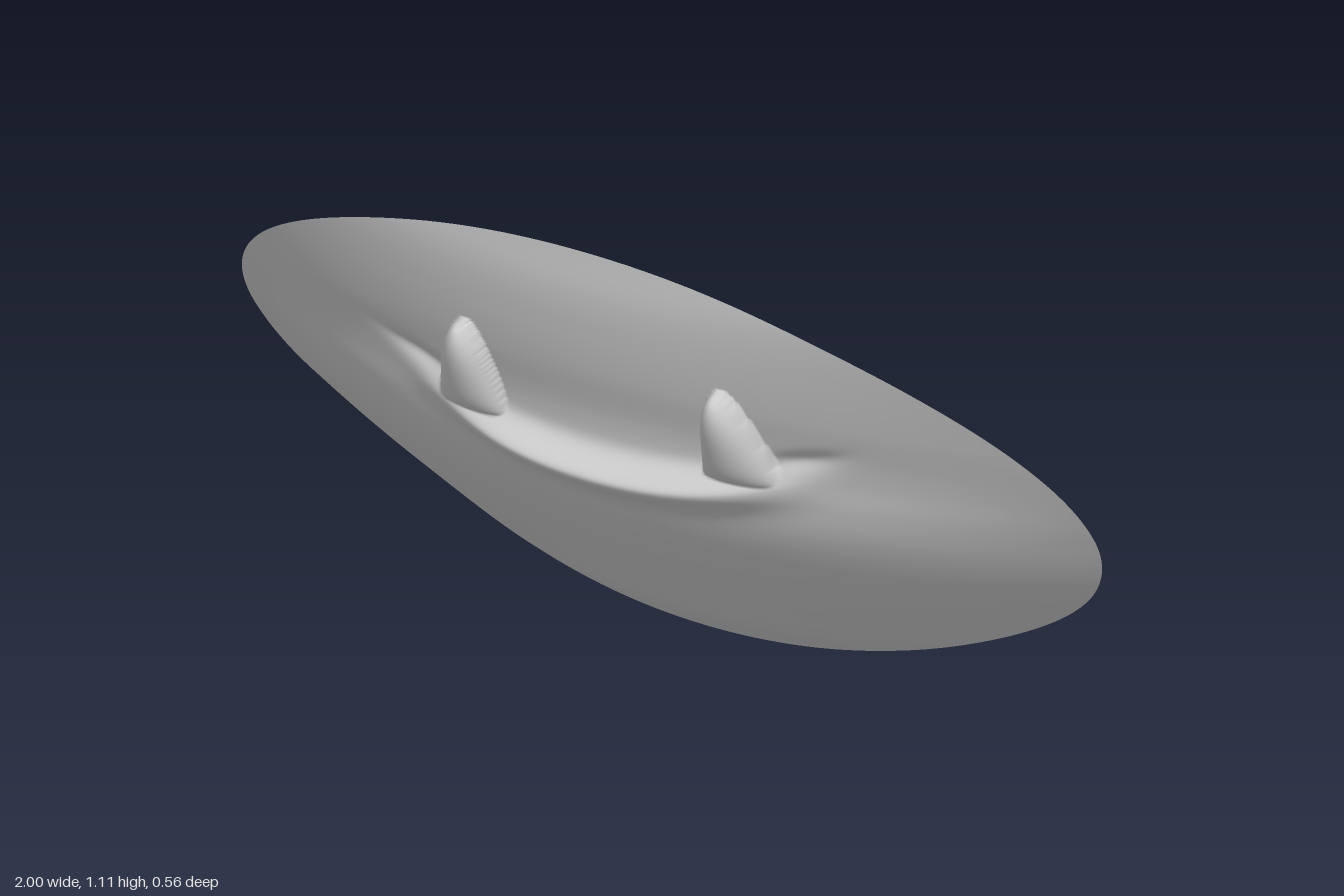
import * as THREE from 'three';

const CY = 0.553; // centre height and half height of the elliptical outline

// Smooth depth profile through [y, z] pairs (cubic Hermite, slopes from neighbours)
function profile(pts) {
  const slope = (i) => {
    const a = pts[Math.max(i - 1, 0)], b = pts[Math.min(i + 1, pts.length - 1)];
    return (b[1] - a[1]) / (b[0] - a[0]);
  };
  return (y) => {
    let i = 0;
    while (i < pts.length - 2 && y > pts[i + 1][0]) i++;
    const [y0, z0] = pts[i], [y1, z1] = pts[i + 1];
    const h = y1 - y0, t = (y - y0) / h, t2 = t * t, t3 = t2 * t;
    return (2 * t3 - 3 * t2 + 1) * z0 + (t3 - 2 * t2 + t) * h * slope(i)
      + (3 * t2 - 2 * t3) * z1 + (t3 - t2) * h * slope(i + 1);
  };
}

// Depth along the middle of the sheet and along its rim
const middle = profile([[0, -0.24], [0.08, -0.145], [0.16, -0.075], [0.25, 0], [0.34, 0.07],
  [0.43, 0.13], [0.5, 0.165], [0.57, 0.183], [0.64, 0.19], [0.7, 0.203], [0.8, 0.237],
  [0.9, 0.262], [1, 0.278], [1.106, 0.28]]);
const rim = profile([[0, -0.24], [0.06, -0.265], [0.13, -0.28], [0.2, -0.273], [0.3, -0.235],
  [0.4, -0.18], [0.5, -0.12], [0.56, -0.08], [0.68, 0.003], [0.8, 0.09], [0.95, 0.2],
  [1.03, 0.25], [1.106, 0.28]]);

// Rounded lower lip following a smile curve, with a shallow groove at the corners
function lip(x, y) {
  const d = y - (0.615 + 0.32 * x * x);
  const s = d < -0.055 ? 0.05 : 0.035;
  const ridge = 0.064 * Math.exp(-(((d + 0.055) / s) ** 2)) * Math.exp(-((x / 0.39) ** 4));
  const corner = Math.exp(-(((Math.abs(x) - 0.45) / 0.08) ** 2));
  return ridge - 0.014 * corner * Math.exp(-(((d - 0.008) / 0.022) ** 2));
}

// Hollow fang pushed out of the sheet, mirrored in x
function fang(x, y) {
  const t = (y - 0.612) / 0.233;
  if (t <= 0 || t >= 1) return -1;
  const across = (Math.abs(x) - (0.32 - 0.015 * t)) / (0.088 * Math.sqrt(1 - t));
  if (Math.abs(across) >= 1) return -1;
  return 0.07 * Math.pow(4 * t * (1 - t), 0.3) * Math.sqrt(1 - across * across);
}

function mouthGeometry(cols, rows) {
  const pos = [], index = [];
  for (let j = 0; j <= rows; j++) {
    // rows and columns are closer together around the lip and fangs
    const v = j / rows;
    const angle = Math.PI * v + 0.2 * Math.sin(2 * Math.PI * v);
    const y = CY * (1 - Math.cos(angle));
    for (let i = 0; i <= cols; i++) {
      const s = (2 * i) / cols - 1;
      const u = 0.55 * s + 0.45 * s ** 5;
      const x = u * Math.sin(angle);
      const base = middle(y) + (rim(y) - middle(y)) * u * u;
      pos.push(x, y, base + Math.max(lip(x, y), fang(x, y)));
      if (i < cols && j < rows) {
        const p = j * (cols + 1) + i, q = p + cols + 1;
        index.push(p, p + 1, q + 1, p, q + 1, q);
      }
    }
  }
  const g = new THREE.BufferGeometry();
  g.setAttribute('position', new THREE.Float32BufferAttribute(pos, 3));
  g.setIndex(index);
  g.computeVertexNormals();
  return g;
}

export function createModel() {
  const group = new THREE.Group();
  group.name = 'fangedMouth';
  // One thin curved sheet carrying the lip and both fangs
  const material = new THREE.MeshStandardMaterial({ color: 0xcccccc, side: THREE.DoubleSide });
  const mouth = new THREE.Mesh(mouthGeometry(280, 240), material);
  mouth.name = 'mouthSheet';
  group.add(mouth);
  return group;
}
